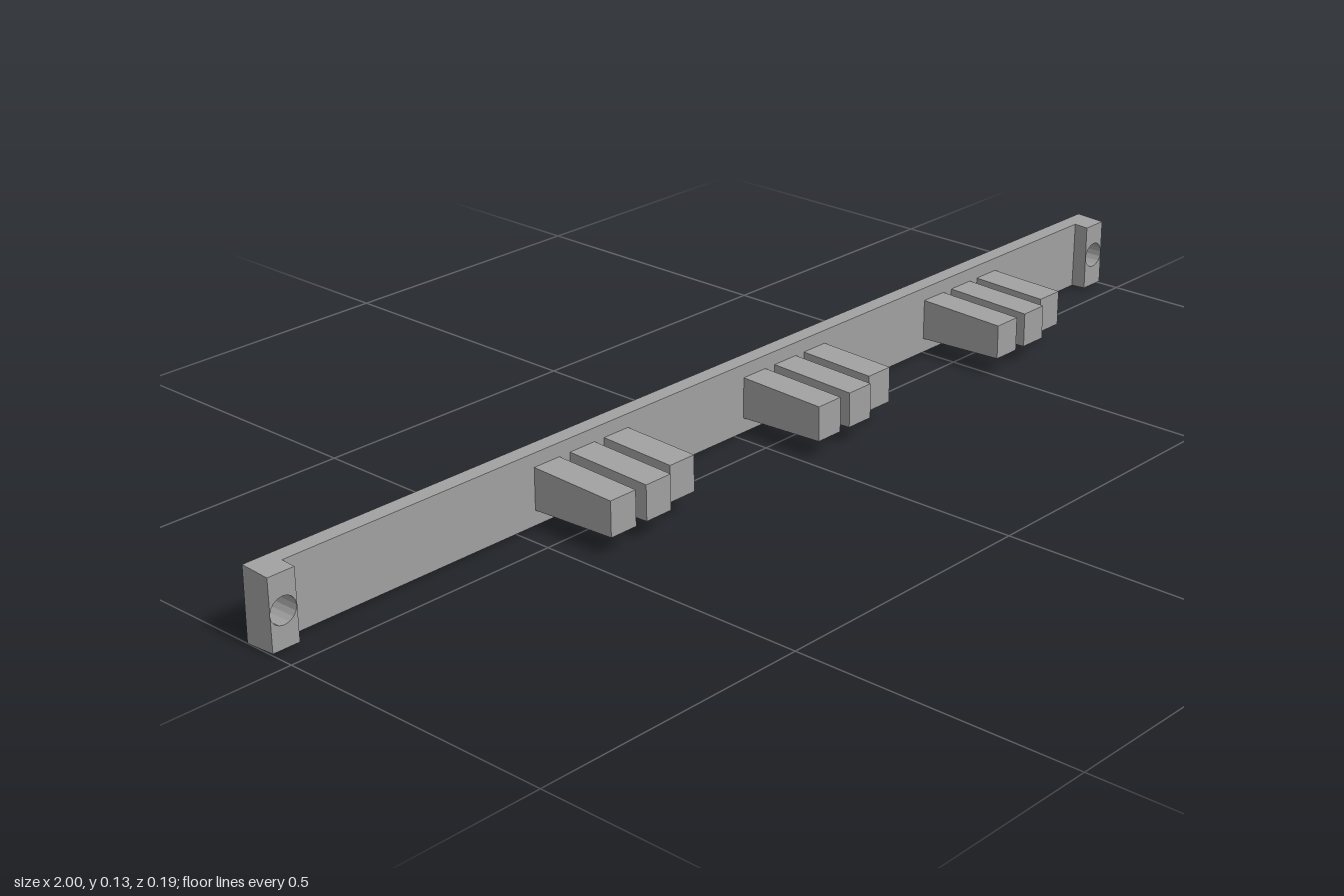
import * as THREE from 'three';

const MID = 0.063; // mid height of the rail
const BACK = -0.097, FACE = -0.068, LUG = -0.04;

// Rectangle in x and y with round screw holes, extruded from z0 to z1
function drilledSlab(x0, x1, holes, z0, z1) {
  const h = 0.063;
  const shape = new THREE.Shape();
  shape.moveTo(x0, -h).lineTo(x1, -h).lineTo(x1, h).lineTo(x0, h).closePath();
  for (const x of holes) {
    const hole = new THREE.Path();
    hole.absarc(x, 0, 0.024, 0, Math.PI * 2, true);
    shape.holes.push(hole);
  }
  const geo = new THREE.ExtrudeGeometry(shape, { depth: z1 - z0, bevelEnabled: false, curveSegments: 8 });
  geo.translate(0, 0, z0);
  // Draft: the slab gets slightly lower towards the front, and its back leans a little
  const p = geo.attributes.position;
  for (let i = 0; i < p.count; i++) {
    const z = p.getZ(i), y = p.getY(i);
    const t = (z - BACK) / (LUG - BACK);
    p.setY(i, MID + y * (1 - 0.048 * t));
    p.setZ(i, z + 0.0012 * (y / h + 1) * (1 - t));
  }
  geo.computeVertexNormals();
  return geo;
}

// Prong with sloping top and bottom, reaching forward to z = tip
function prongGeometry(tip) {
  const length = tip - FACE;
  const geo = new THREE.BoxGeometry(0.054, 0.073, length);
  geo.translate(0, 0, FACE + length / 2);
  const p = geo.attributes.position;
  for (let i = 0; i < p.count; i++) {
    const t = (p.getZ(i) - FACE) / 0.165;
    p.setY(i, MID + 0.001 + p.getY(i) * (1 - 0.16 * t));
  }
  geo.computeVertexNormals();
  return geo;
}

export function createModel() {
  const model = new THREE.Group();
  model.name = 'prongedRail';
  const grey = new THREE.MeshStandardMaterial({ color: 0xa0a0a0 });
  grey.name = 'grey';

  const add = (parent, geo, name) => {
    const mesh = new THREE.Mesh(geo, grey);
    mesh.name = name;
    parent.add(mesh);
    return mesh;
  };

  // Long back plate with a screw hole at each end
  add(model, drilledSlab(-1, 1, [-0.976, 0.976], BACK, FACE), 'backPlate');

  // Mounting lugs at the ends
  add(model, drilledSlab(-1, -0.951, [-0.976], FACE, LUG), 'rightLug');
  add(model, drilledSlab(0.951, 1, [0.976], FACE, LUG), 'leftLug');

  // Three sets of prongs: two long, one short
  const longProng = prongGeometry(0.097);
  const shortProng = prongGeometry(0.076);
  for (const x of [-0.356, 0.124, 0.602]) {
    const set = new THREE.Group();
    set.name = 'prongSet';
    set.position.x = x;
    add(set, longProng, 'longProng').position.x = -0.077;
    add(set, longProng, 'longProng');
    add(set, shortProng, 'shortProng').position.x = 0.075;
    model.add(set);
  }
  return model;
}
